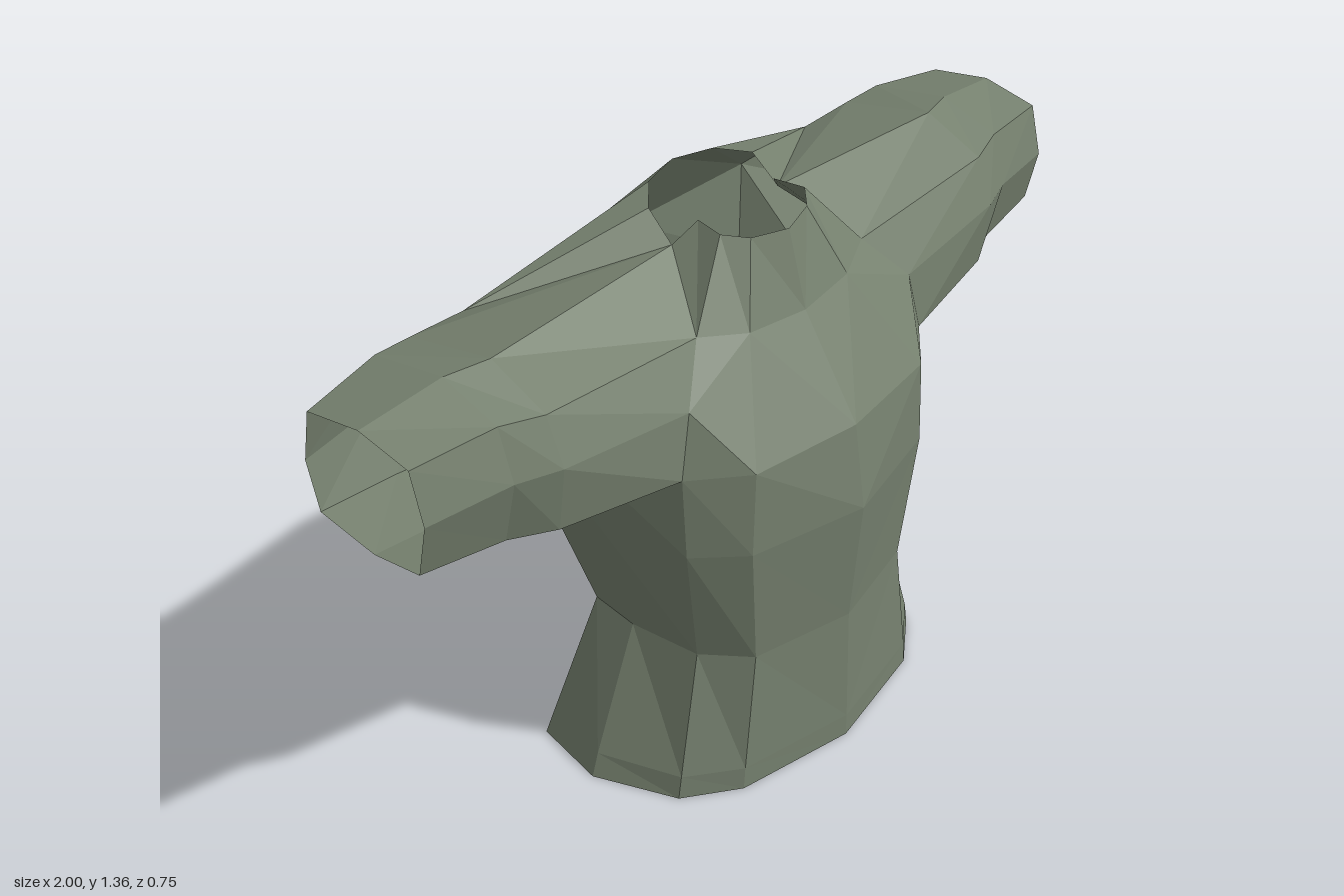
import * as THREE from 'three';

const v = (x, y, z) => [x, y, z];
const ring = (y, pts) => pts.map(([x, z]) => v(x, y, z));
const cuffRing = (x, pts) => pts.map(([y, z]) => v(x, y, z));

// Collects faces for the left half and mirrors each one to the right
function halfMesh(name, material, build) {
  const left = [], right = [];
  const tri = (a, b, c) => {
    left.push(...a, ...b, ...c);
    for (const p of [a, c, b]) right.push(-p[0], p[1], p[2]);
  };
  const quad = (a, b, c, d) => { tri(a, b, c); tri(a, c, d); };
  build(tri, quad);
  const geo = new THREE.BufferGeometry();
  geo.setAttribute('position', new THREE.Float32BufferAttribute(left.concat(right), 3));
  geo.computeVertexNormals();
  const mesh = new THREE.Mesh(geo, material);
  mesh.name = name;
  return mesh;
}

export function createModel() {
  const group = new THREE.Group();
  group.name = 'shirt';
  const cloth = new THREE.MeshStandardMaterial({ color: 0x76816f });
  cloth.name = 'greyGreenCloth';
  cloth.flatShading = true;
  cloth.side = THREE.DoubleSide;

  // Half rings of the torso, from front centre round the side to back centre
  const rings = [
    ring(0, [[0, .35], [.3, .29], [.425, .2], [.505, 0], [.47, -.19], [.31, -.265], [0, -.28]]),
    ring(.06, [[0, .35], [.295, .29], [.415, .2], [.485, 0], [.45, -.18], [.3, -.24], [0, -.255]]),
    ring(.37, [[0, .345], [.255, .285], [.335, .18], [.355, 0], [.34, -.13], [.25, -.18], [0, -.2]]),
    ring(.69, [[0, .375], [.29, .305], [.39, .205], [.44, 0], [.43, -.19], [.33, -.28], [0, -.32]]),
    ring(.9, [[0, .345], [.28, .305], [.4, .205], [.485, 0], [.48, -.22], [.38, -.33], [0, -.373]]),
  ];
  const [fc, f1, f2, side, b2, b1, bc] = rings[4];

  // Armhole, chest and upper back points
  const armFront = v(.365, 1.05, .195), armFrontTop = v(.27, 1.16, .13);
  const armBackTop = v(.55, 1.19, -.27), armBack = v(.54, 1.06, -.275);
  const chest = v(0, 1.13, .197), chestSide = v(.16, 1.14, .18);
  const back = v(0, 1.14, -.328), backSide = v(.38, 1.14, -.322);

  // Neck opening, front to back, dipping at the shoulder seam
  const neck = [v(0, 1.31, .148), v(.09, 1.315, .12), v(.135, 1.325, .075), v(.12, 1.325, 0),
    v(.17, 1.275, -.03), v(.165, 1.335, -.1), v(.1, 1.35, -.16), v(0, 1.355, -.185)];

  group.add(halfMesh('torso', cloth, (tri, quad) => {
    for (let r = 0; r < rings.length - 1; r++) {
      const lo = rings[r], hi = rings[r + 1];
      for (let i = 0; i < lo.length - 1; i++) quad(lo[i], lo[i + 1], hi[i + 1], hi[i]);
    }
  }));

  group.add(halfMesh('chestAndCollar', cloth, (tri, quad) => {
    quad(fc, f1, chestSide, chest);
    quad(f1, f2, armFront, chestSide);
    tri(chestSide, armFront, armFrontTop);
    quad(chest, chestSide, neck[1], neck[0]);
    quad(chestSide, armFrontTop, neck[2], neck[1]);
    tri(armFrontTop, neck[3], neck[2]);
    tri(armFrontTop, neck[4], neck[3]);
  }));

  group.add(halfMesh('upperBack', cloth, (tri, quad) => {
    quad(b1, bc, back, backSide);
    quad(b2, b1, backSide, armBack);
    tri(armBack, backSide, armBackTop);
    tri(armBackTop, neck[5], neck[4]);
    quad(armBackTop, backSide, neck[6], neck[5]);
    quad(backSide, back, neck[7], neck[6]);
  }));

  // Sleeve rings start at the underarm and run up the front and down the back
  const sleeve = [
    [side, f2, armFront, armFrontTop, neck[4], armBackTop, armBack, b2],
    cuffRing(.7, [[.905, -.03], [.92, .15], [1.08, .173], [1.19, .13], [1.255, -.02],
      [1.2, -.265], [1.07, -.275], [.92, -.22]]),
    cuffRing(.8, [[.91, -.05], [.925, .1], [1.08, .137], [1.2, .1], [1.248, -.05],
      [1.21, -.255], [1.07, -.28], [.93, -.225]]),
    cuffRing(1, [[.92, -.065], [.94, .07], [1.07, .1], [1.19, .07], [1.217, -.07],
      [1.19, -.225], [1.06, -.253], [.945, -.225]]),
  ];
  group.add(halfMesh('sleeves', cloth, (tri, quad) => {
    for (let s = 0; s < sleeve.length - 1; s++) {
      const a = sleeve[s], b = sleeve[s + 1];
      for (let k = 0; k < 8; k++) {
        const n = (k + 1) % 8;
        quad(a[k], b[k], b[n], a[n]);
      }
    }
  }));

  return group;
}
